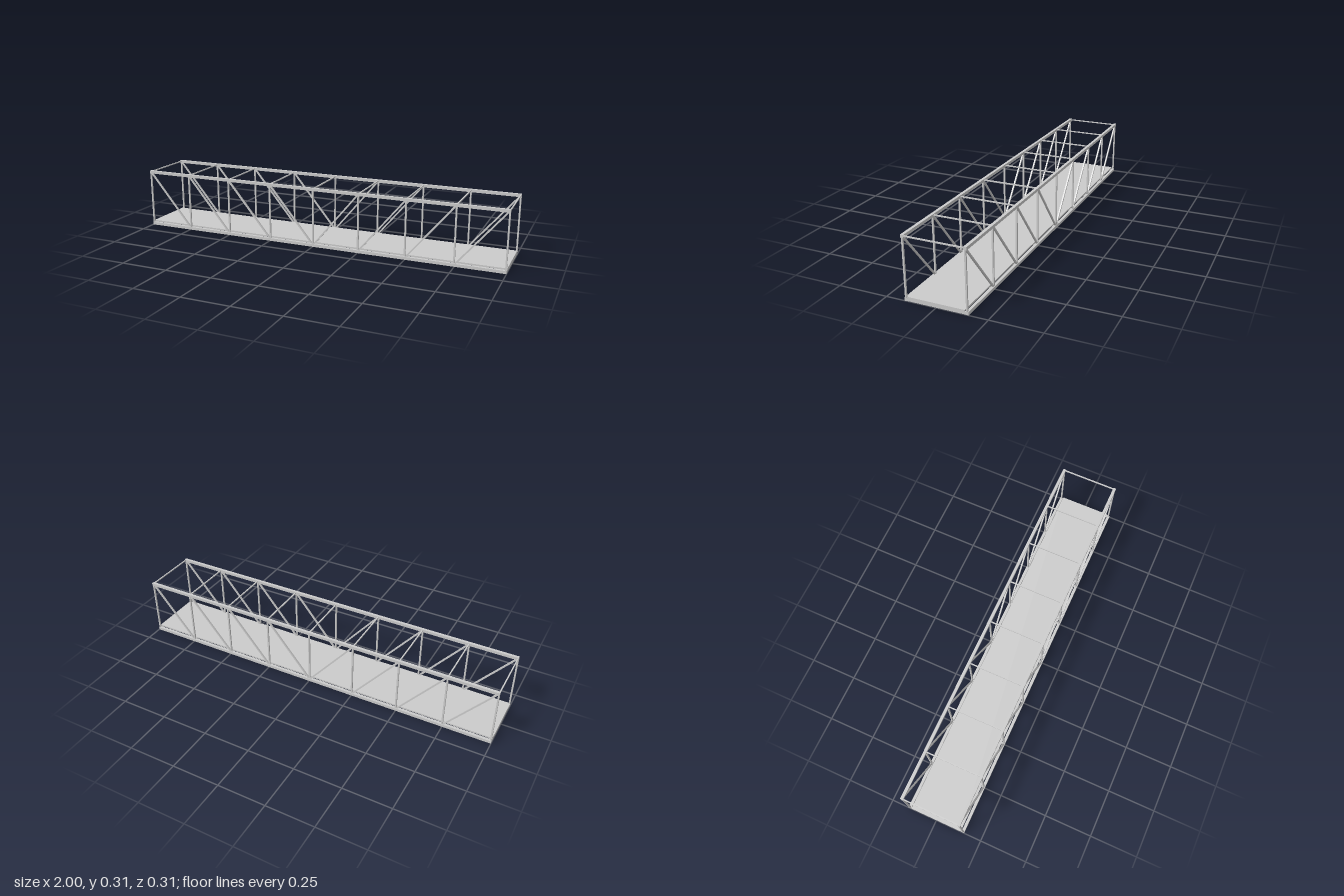
import * as THREE from 'three';

const material = new THREE.MeshStandardMaterial({ color: 0xcccccc });
const PANELS = 8;
const HALF = 0.996; // centre of the end posts
const SIDE = 0.15; // truss plane offset
const LOW = 0.008, HIGH = 0.308; // chord centrelines

function box(name, w, h, d, x, y, z) {
  const mesh = new THREE.Mesh(new THREE.BoxGeometry(w, h, d), material);
  mesh.name = name;
  mesh.position.set(x, y, z);
  return mesh;
}

// Square bar between two points in a truss plane
function bar(name, x1, y1, x2, y2, z, size) {
  const mesh = box(name, Math.hypot(x2 - x1, y2 - y1), size, size, (x1 + x2) / 2, (y1 + y2) / 2, z);
  mesh.rotation.z = Math.atan2(y2 - y1, x2 - x1);
  return mesh;
}

// One side: chords, posts, and diagonals that fall towards midspan
function truss(name, z, nodes) {
  const group = new THREE.Group();
  group.name = name;
  group.add(box('bottomChord', 2, 0.015, 0.015, 0, LOW, z));
  group.add(box('topChord', 2, 0.015, 0.015, 0, HIGH, z));
  for (const x of nodes) group.add(box('post', 0.008, HIGH - LOW, 0.008, x, (LOW + HIGH) / 2, z));
  for (let i = 0; i < PANELS; i++) {
    const falling = i < PANELS / 2;
    group.add(bar('diagonal', nodes[i], falling ? HIGH : LOW, nodes[i + 1], falling ? LOW : HIGH, z, 0.008));
  }
  return group;
}

export function createModel() {
  const bridge = new THREE.Group();
  bridge.name = 'trussBridge';
  const nodes = Array.from({ length: PANELS + 1 }, (_, i) => -HALF + (2 * HALF * i) / PANELS);

  bridge.add(truss('frontTruss', SIDE, nodes), truss('backTruss', -SIDE, nodes));

  // Cross members joining the two trusses
  for (const x of nodes) {
    bridge.add(box('floorBeam', 0.008, 0.013, 2 * SIDE, x, LOW, 0));
    bridge.add(box('topStrut', 0.006, 0.006, 2 * SIDE, x, 0.309, 0));
  }

  // Walking deck
  bridge.add(box('deck', 2, 0.008, 0.279, 0, 0.0185, 0));
  // Rest the bottom chords on the ground
  bridge.children.forEach((part) => { part.position.y -= 0.0005; });
  return bridge;
}
